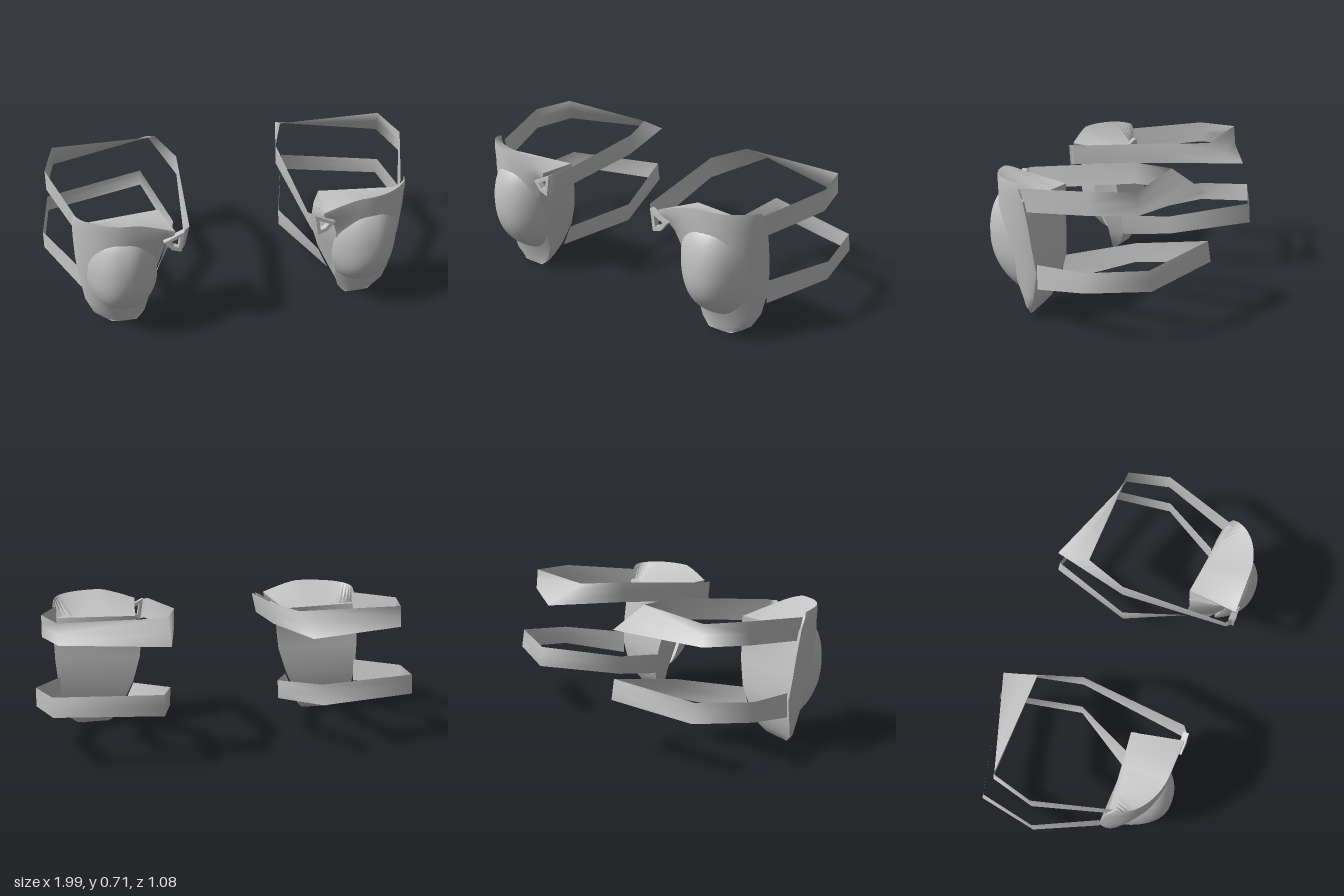
import * as THREE from 'three';
import { toCreasedNormals } from 'three/addons/utils/BufferGeometryUtils.js';

const grey = new THREE.MeshStandardMaterial({ color: 0xc4c4c4, side: THREE.DoubleSide });
grey.name = 'light grey';

// Skins a grid of points; s = -1 mirrors it in x and keeps faces outward
function skin(rows, s, closed, crease) {
  const n = rows[0].length, pos = [], idx = [];
  rows.forEach(r => r.forEach(p => pos.push(p[0] * s, p[1], p[2])));
  for (let i = 0; i < rows.length - 1; i++) {
    for (let j = 0; j < (closed ? n : n - 1); j++) {
      const k = (j + 1) % n;
      const a = i * n + j, b = i * n + k, c = (i + 1) * n + k, d = (i + 1) * n + j;
      idx.push(...(s > 0 ? [a, b, c, a, c, d] : [a, c, b, a, d, c]));
    }
  }
  const g = new THREE.BufferGeometry();
  g.setAttribute('position', new THREE.Float32BufferAttribute(pos, 3));
  g.setIndex(idx);
  g.computeVertexNormals();
  return crease ? toCreasedNormals(g, crease) : g;
}

// Pad sections: y, inner x, outer x, front z, inner drop, outer back z, inner back x, inner back z, closing
const SECTIONS = [
  [0.00, 0.57, 0.70, 0.33, 0.00, 0.32, 0.58, 0.32, 1],
  [0.015, 0.55, 0.74, 0.335, 0.01, 0.29, 0.55, 0.30, 0],
  [0.05, 0.525, 0.79, 0.345, 0.02, 0.275, 0.53, 0.27, 0],
  [0.12, 0.505, 0.825, 0.37, 0.04, 0.245, 0.495, 0.24, 0],
  [0.25, 0.49, 0.845, 0.43, 0.06, 0.22, 0.435, 0.225, 0],
  [0.38, 0.475, 0.857, 0.465, 0.05, 0.237, 0.395, 0.24, 0],
  [0.48, 0.465, 0.86, 0.48, 0.04, 0.252, 0.385, 0.25, 0],
  [0.55, 0.445, 0.862, 0.49, 0.03, 0.265, 0.395, 0.24, 0],
  [0.62, 0.41, 0.86, 0.495, 0.01, 0.28, 0.42, 0.23, 0],
  [0.68, 0.38, 0.858, 0.50, 0, 0.30, 0.42, 0.23, 0],
  [0.715, 0.375, 0.85, 0.50, 0, 0.31, 0.42, 0.23, 0],
  [0.715, 0.375, 0.85, 0.50, 0, 0.31, 0.42, 0.23, 1],
];
const BACK_TOP = 0.61;

function padSection([y, xi, xo, zf, drop, zo, xb, zb, t]) {
  const front = [], N = 20, xm = xi + (xo - xi) * 0.42;
  const rim = THREE.MathUtils.clamp((y - 0.6) / 0.1, 0, 1);
  for (let j = 0; j <= N; j++) {
    const u = j / N, v = Math.max(0, 1 - u / 0.3);
    const yf = y - rim * (0.06 * v ** 1.3 + 0.02 * u ** 6);
    if (u < 0.3) {
      front.push([xm + (xi - xm) * v, yf, zf - drop * v ** 2]);
    } else {
      const a = (u - 0.3) / 0.7 * Math.PI / 2;
      front.push([xm + (xo - xm) * Math.sin(a), yf, zo + (zf - zo) * Math.max(0, Math.cos(a)) ** 1.1]);
    }
  }
  // back runs straight from outer to inner edge; a sloping lid joins its top to the front rim
  const back = front.map((f, j) => {
    const u = j / N, cy = Math.min(y, BACK_TOP);
    const cx = xb + (xo - xb) * u, cz = zb + (zo - zb) * u;
    return [cx + (f[0] - cx) * t, cy + (f[1] - cy) * t, cz + (f[2] - cz) * t];
  }).reverse();
  return front.concat(back);
}

// Egg-shaped dome whose rim wraps around the pad
function capRows() {
  const rows = [], M = 12, N = 40;
  for (let i = 0; i <= M; i++) {
    const r = Math.sin((1 - i / M) * Math.PI / 2), row = [];
    for (let j = 0; j < N; j++) {
      const a = j / N * Math.PI * 2, c = Math.cos(a), sn = Math.sin(a);
      const rim = 0.375 + 0.065 * sn + 0.04 * sn * sn - 0.028 * c;
      const x = 0.637 + 0.178 * r * Math.sign(c) * Math.abs(c) ** 0.85;
      const y = 0.36 + 0.25 * r * Math.sign(sn) * Math.abs(sn) ** 0.93 + 0.05 * (1 - r);
      row.push([x, y, rim + (0.54 - rim) * (1 - r ** 2.4) ** 0.8]);
    }
    rows.push(row);
  }
  return rows;
}

// Strap stations: bottom x, top x, bottom y, top y, bottom z, top z
const UPPER = [
  [0.84, 0.84, 0.555, 0.67, 0.27, 0.30], [0.957, 0.957, 0.595, 0.71, -0.09, -0.09],
  [0.90, 0.90, 0.60, 0.71, -0.32, -0.31], [0.365, 0.345, 0.605, 0.71, -0.50, -0.31],
  [0.27, 0.268, 0.60, 0.71, -0.09, -0.09], [0.325, 0.30, 0.545, 0.655, 0.47, 0.47],
  [0.35, 0.335, 0.537, 0.65, 0.50, 0.50],
];
const LOWER = [
  [0.835, 0.835, 0.17, 0.295, 0.22, 0.22], [0.997, 0.997, 0.23, 0.33, -0.09, -0.09],
  [0.945, 0.945, 0.255, 0.355, -0.40, -0.385], [0.41, 0.41, 0.265, 0.37, -0.535, -0.52],
  [0.298, 0.293, 0.19, 0.29, -0.10, -0.10], [0.49, 0.435, 0.11, 0.235, 0.235, 0.235],
];
const strapRows = st => [0, 0.5, 1].map(k => st.map(p =>
  [0, 2, 4].map(c => p[c] + (p[c + 1] - p[c]) * k)));

// Small triangular loop at the inner top corner
function buckle(s) {
  const pts = k => [[0.33, 0.652], [0.348, 0.535], [0.395, 0.55], [0.435, 0.60]]
    .map(([x, y]) => new THREE.Vector2(s * (0.375 + (x - 0.375) * k), 0.59 + (y - 0.59) * k));
  const shape = new THREE.Shape(pts(1));
  shape.holes.push(new THREE.Path(pts(0.5)));
  return new THREE.ExtrudeGeometry(shape, { depth: 0.03, bevelEnabled: false }).translate(0, 0, 0.478);
}

export function createModel() {
  const model = new THREE.Group();
  model.name = 'kneePads';
  for (const s of [1, -1]) {
    const pad = new THREE.Group();
    pad.name = s > 0 ? 'leftKneePad' : 'rightKneePad';
    const add = (name, geo) => {
      const m = new THREE.Mesh(geo, grey);
      m.name = name;
      pad.add(m);
    };
    add('padShell', skin(SECTIONS.map(padSection), s, true, 0.7));
    add('kneeCap', skin(capRows(), s, true));
    add('upperStrap', skin(strapRows(UPPER), s, false));
    add('lowerStrap', skin(strapRows(LOWER), s, false));
    add('buckle', buckle(s));
    model.add(pad);
  }
  return model;
}
